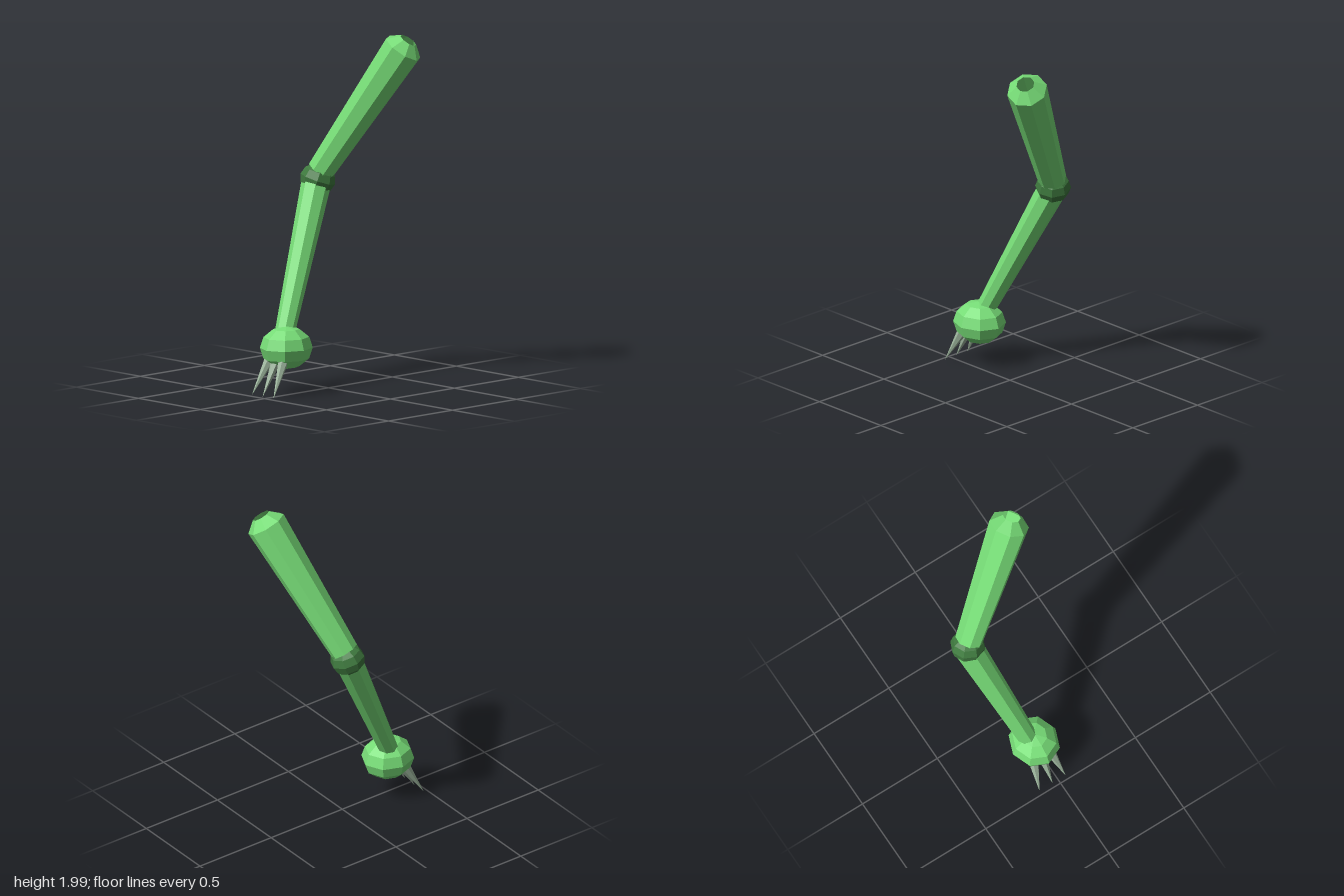
import * as THREE from 'three';

const UP = new THREE.Vector3(0, 1, 0);
const paint = (color, side = THREE.FrontSide) =>
  new THREE.MeshStandardMaterial({ color, side, flatShading: true });

export function createModel() {
  const model = new THREE.Group();
  const green = paint(0x77dd77);
  const openGreen = paint(0x77dd77, THREE.DoubleSide);
  const darkGreen = paint(0x3f7a3f);
  const horn = paint(0x9fb89f);

  // Tapered eight-sided limb turned around the line from a to b.
  // Each profile entry is [radius, distance beyond b] or starts at a.
  function limb(name, a, b, ra, rb, material, sides = 8, twist = 0, cap = []) {
    const start = new THREE.Vector3(...a);
    const axis = new THREE.Vector3(...b).sub(start);
    const length = axis.length();
    const points = [[0, 0], [ra, 0], [rb, length], ...cap.map(([r, d]) => [r, length + d])];
    const profile = points.map(([r, y]) => new THREE.Vector2(r, y));
    const mesh = new THREE.Mesh(new THREE.LatheGeometry(profile, sides, twist), material);
    mesh.position.copy(start);
    mesh.quaternion.setFromUnitVectors(UP, axis.normalize());
    mesh.name = name;
    model.add(mesh);
    return mesh;
  }

  function ball(name, center, radii, material) {
    const mesh = new THREE.Mesh(new THREE.SphereGeometry(1, 8, 6), material);
    mesh.scale.set(...radii);
    mesh.position.set(...center);
    mesh.name = name;
    model.add(mesh);
    return mesh;
  }

  // Upper arm with a bevelled, open shoulder end
  limb('upperArm', [-0.2, 1.2, -0.135], [0.22, 1.92, -0.37], 0.08, 0.115,
    openGreen, 8, 0.19, [[0.052, 0.056]]);

  // Elbow joint
  const elbow = ball('elbow', [-0.215, 1.15, -0.125], [0.102, 0.09, 0.1], darkGreen);
  elbow.rotation.set(-0.25, 0, -0.2);

  // Forearm, running down into the hand
  limb('forearm', [-0.06, 0.28, 0.302], [-0.217, 1.13, -0.115], 0.054, 0.084,
    green, 8, 0, [[0, 0]]);

  // Hand
  ball('hand', [-0.04, 0.263, 0.29], [0.142, 0.122, 0.155], green);

  // Three splayed claws
  for (const side of [-1, 0, 1]) {
    limb('claw', [-0.039 + side * 0.055, 0.2, 0.368], [-0.038 + side * 0.087, 0.003, 0.478],
      0.03, 0, horn, 6);
  }

  return model;
}
